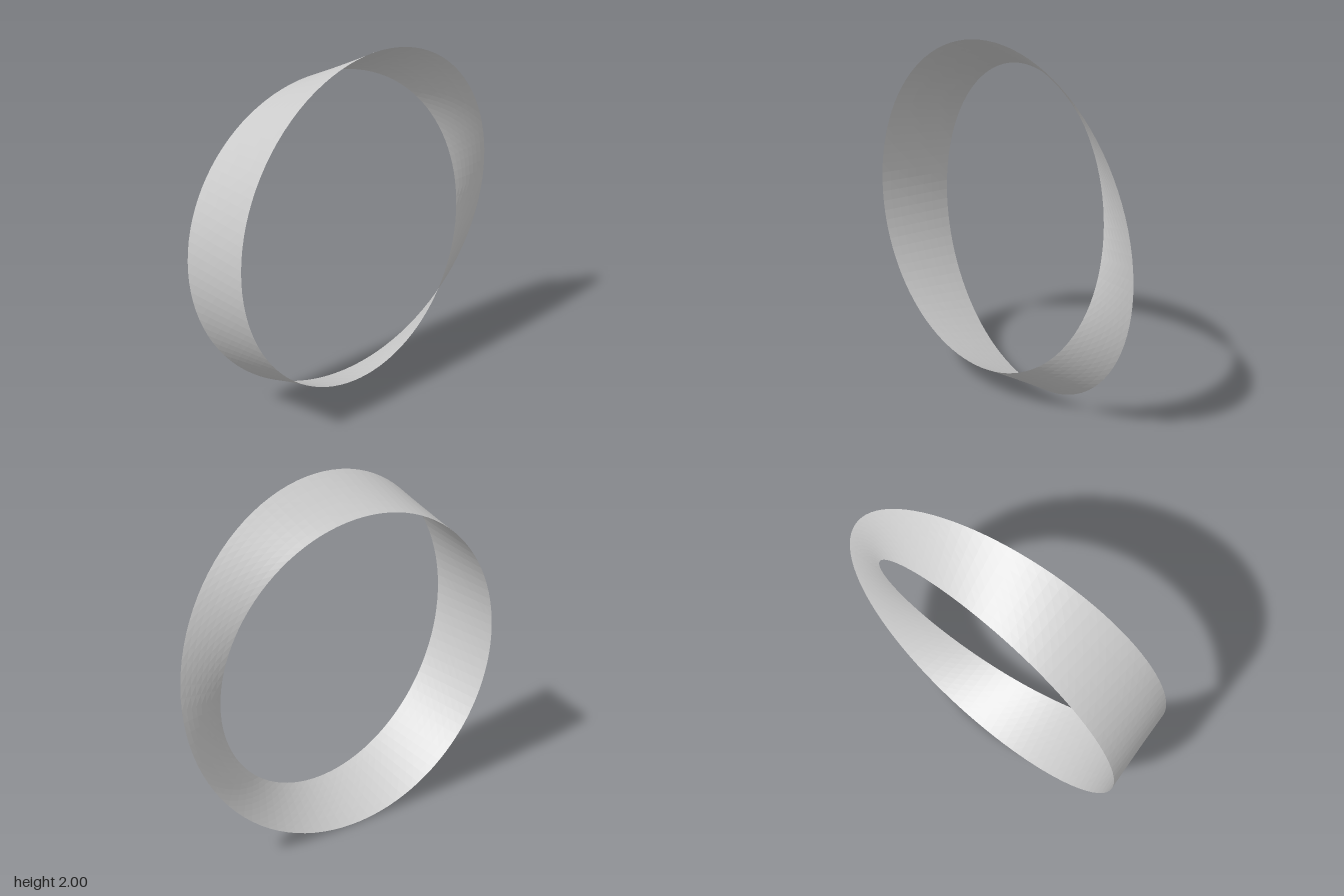
import * as THREE from 'three';
import { ParametricGeometry } from 'three/addons/geometries/ParametricGeometry.js';

const RADIUS = 0.918;          // centre line of the band
const HALF_WIDTH = RADIUS / 4; // half the band's width where it lies along z

// One-sided band: it makes half a twist in one turn around the z axis,
// with the radial part of its width halved.
function bandPoint(s, t, target) {
  const turn = s * Math.PI * 2;
  const across = (t * 2 - 1) * HALF_WIDTH;
  const r = RADIUS + 0.5 * across * Math.cos(turn / 2);
  target.set(r * Math.cos(turn), r * Math.sin(turn), across * Math.sin(turn / 2));
}

export function createModel() {
  const model = new THREE.Group();
  model.name = 'twistedRing';

  const material = new THREE.MeshStandardMaterial({
    color: 0xcccccc,
    side: THREE.DoubleSide,
    flatShading: true,
  });
  const band = new THREE.Mesh(new ParametricGeometry(bandPoint, 100, 8), material);
  band.name = 'twistedBand';
  // Centre the uneven outline on x and stand it on the ground
  band.position.set(-HALF_WIDTH / 4, 1, 0);
  model.add(band);

  return model;
}
